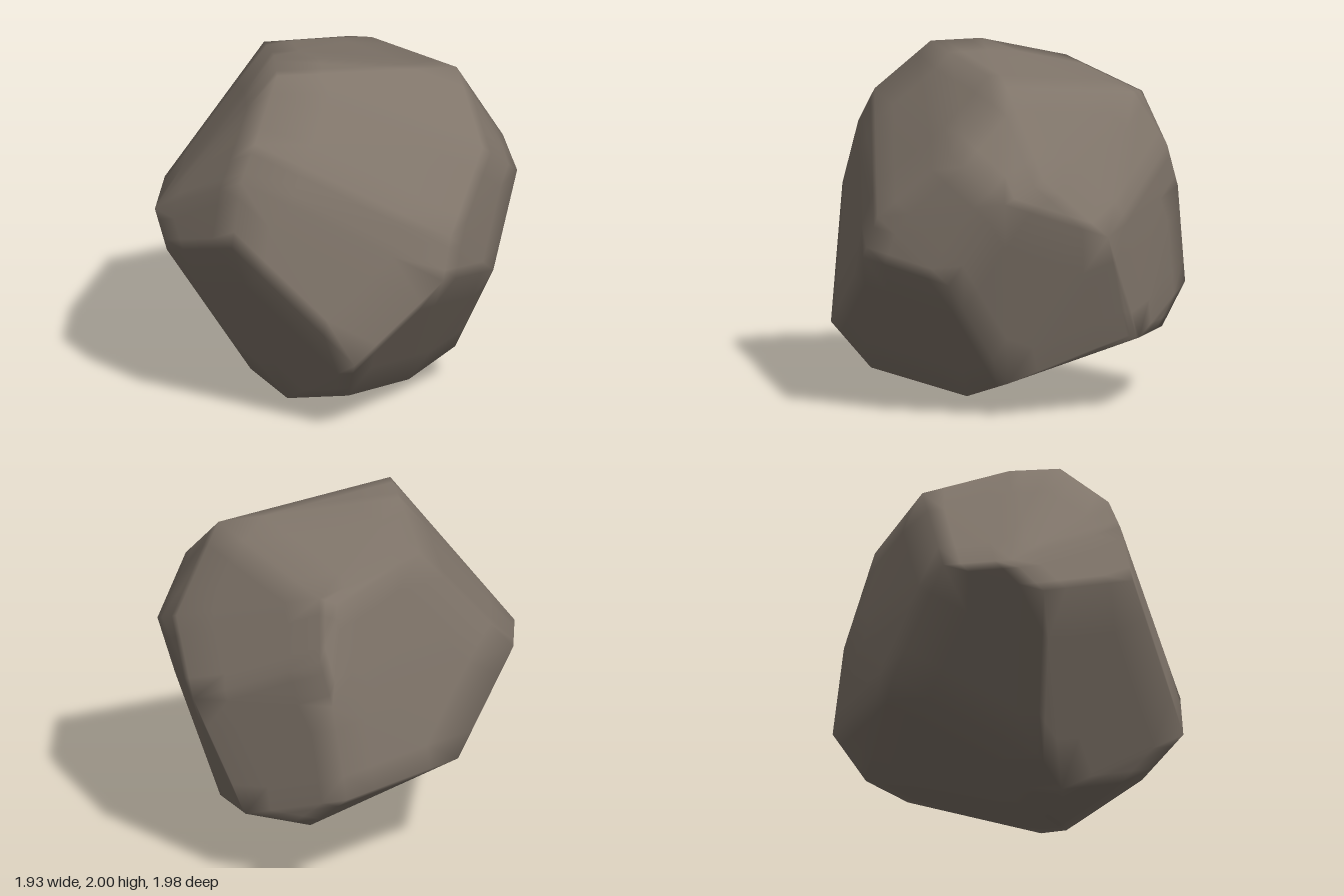
import * as THREE from 'three';
import { ConvexGeometry } from 'three/addons/geometries/ConvexGeometry.js';
import { mergeVertices } from 'three/addons/utils/BufferGeometryUtils.js';

// Corners of the boulder, from the top down
const corners = [
  // crown
  [-0.30, 2.00, 0.20], [-0.15, 1.995, 0.45], [0.61, 1.92, -0.30], [-0.58, 1.88, -0.21],
  [-0.32, 1.76, -0.77], [-0.18, 1.78, -0.77], [-0.12, 1.70, 0.78], [0.90, 1.57, -0.06],
  // waist
  [-0.15, 1.50, 0.89], [-0.25, 1.47, -0.95], [0.76, 1.43, -0.58], [0.94, 1.31, -0.41],
  [-0.34, 1.22, -0.98], [0.92, 1.18, 0.37], [-0.97, 1.15, 0.26], [-0.16, 1.13, 0.99],
  [-0.83, 1.12, 0.65], [0.54, 1.08, -0.89], [0.92, 0.94, 0.46], [-0.69, 0.94, 0.77],
  [0.96, 0.82, -0.08],
  // lower sides
  [-0.43, 0.65, -0.99], [-0.82, 0.64, -0.23], [0.53, 0.47, 0.80], [0.27, 0.46, -0.90],
  [0.20, 0.44, -0.95], [-0.19, 0.43, -0.94],
  // foot
  [0.60, 0.20, -0.30], [0.39, 0.19, 0.61], [-0.33, 0.15, 0.43], [0.46, 0.08, 0.00],
  [-0.10, 0.01, 0.42], [0.06, 0.00, 0.14],
].map((p) => new THREE.Vector3(...p));

// Splits every triangle in four, so that facets stay flat and only their edges shade softly
function subdivide(points) {
  const out = [];
  for (let i = 0; i < points.length; i += 3) {
    const [a, b, c] = points.slice(i, i + 3);
    const ab = a.clone().lerp(b, 0.5);
    const bc = b.clone().lerp(c, 0.5);
    const ca = c.clone().lerp(a, 0.5);
    out.push(a, ab, ca, ab, b, bc, ca, bc, c, ab, bc, ca);
  }
  return out;
}

function boulderGeometry() {
  const hull = new ConvexGeometry(corners).getAttribute('position');
  let points = [];
  for (let i = 0; i < hull.count; i++) points.push(new THREE.Vector3().fromBufferAttribute(hull, i));
  for (let level = 0; level < 2; level++) points = subdivide(points);
  const geometry = mergeVertices(new THREE.BufferGeometry().setFromPoints(points), 1e-4);
  geometry.computeVertexNormals();
  return geometry;
}

export function createModel() {
  const stone = new THREE.MeshStandardMaterial({ color: 0x80756a });
  stone.name = 'stone';

  const boulder = new THREE.Mesh(boulderGeometry(), stone);
  boulder.name = 'boulder';

  const model = new THREE.Group();
  model.name = 'rock';
  model.add(boulder);
  return model;
}
